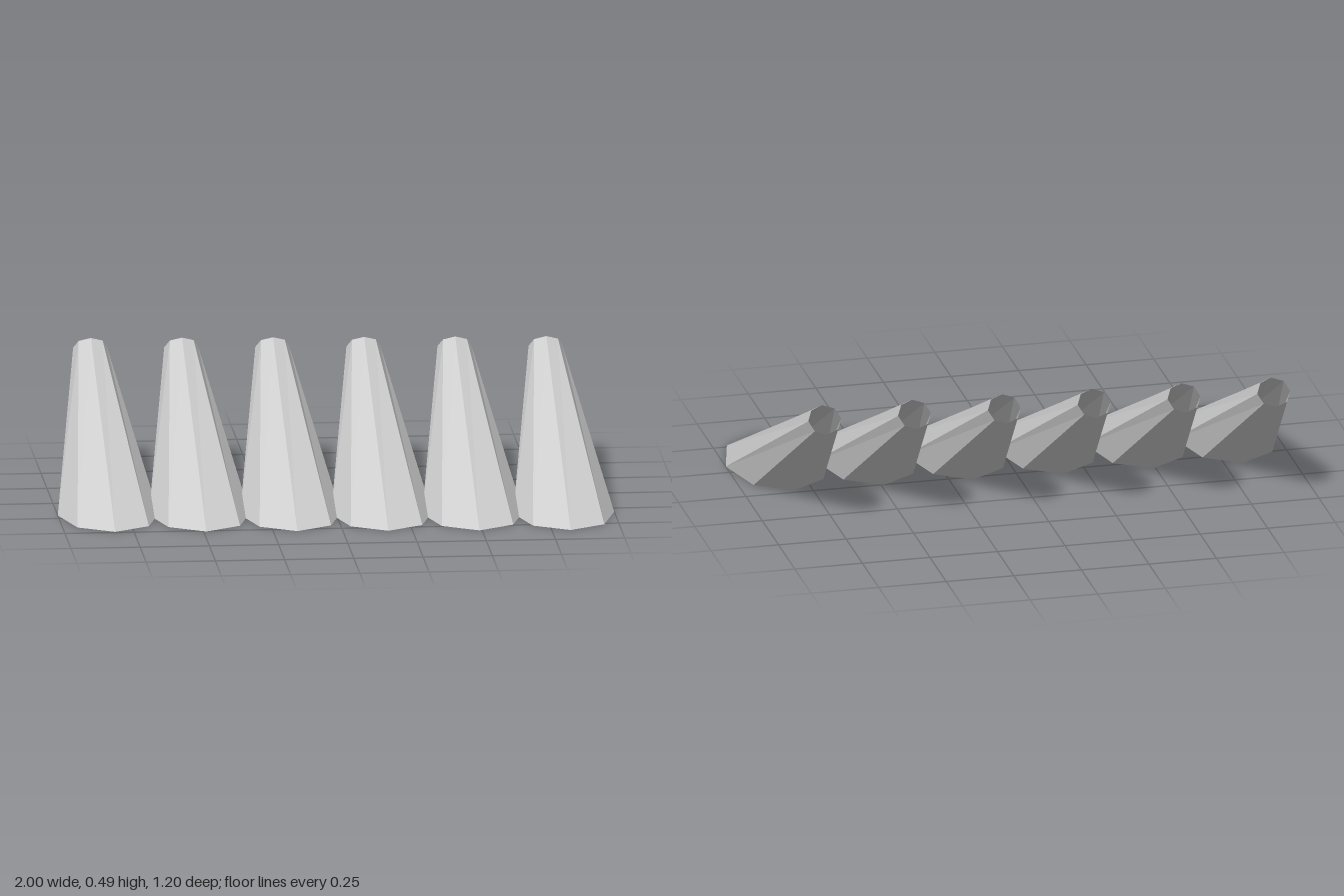
import * as THREE from 'three';

// Open eight-sided tapered tube: flat oval foot on the ground, small tilted mouth
function tubeGeometry() {
  const geo = new THREE.CylinderGeometry(1, 1, 1, 8, 1, true);
  const pos = geo.attributes.position;
  for (let i = 0; i < pos.count; i++) {
    const side = pos.getX(i), front = pos.getZ(i);
    if (pos.getY(i) > 0) pos.setXYZ(i, 0.061 * side, 0.4475 + 0.0425 * front, -0.7625 + 0.0375 * front);
    else pos.setXYZ(i, 0.1825 * side, 0, 0.29 * front);
  }
  geo.computeVertexNormals();
  return geo;
}

export function createModel() {
  const group = new THREE.Group();
  group.name = 'slantedTubeRow';
  const material = new THREE.MeshStandardMaterial({
    color: 0xcccccc, flatShading: true, side: THREE.DoubleSide,
  });
  const geometry = tubeGeometry();

  // Six tubes in a row, each stepped slightly forward of the one before
  for (let i = 0; i < 6; i++) {
    const tube = new THREE.Mesh(geometry, material);
    tube.name = `slantedTube${i + 1}`;
    const t = i - 2.5;
    tube.position.set(t * 0.327, 0, 0.255 + t * 0.022);
    group.add(tube);
  }
  return group;
}
